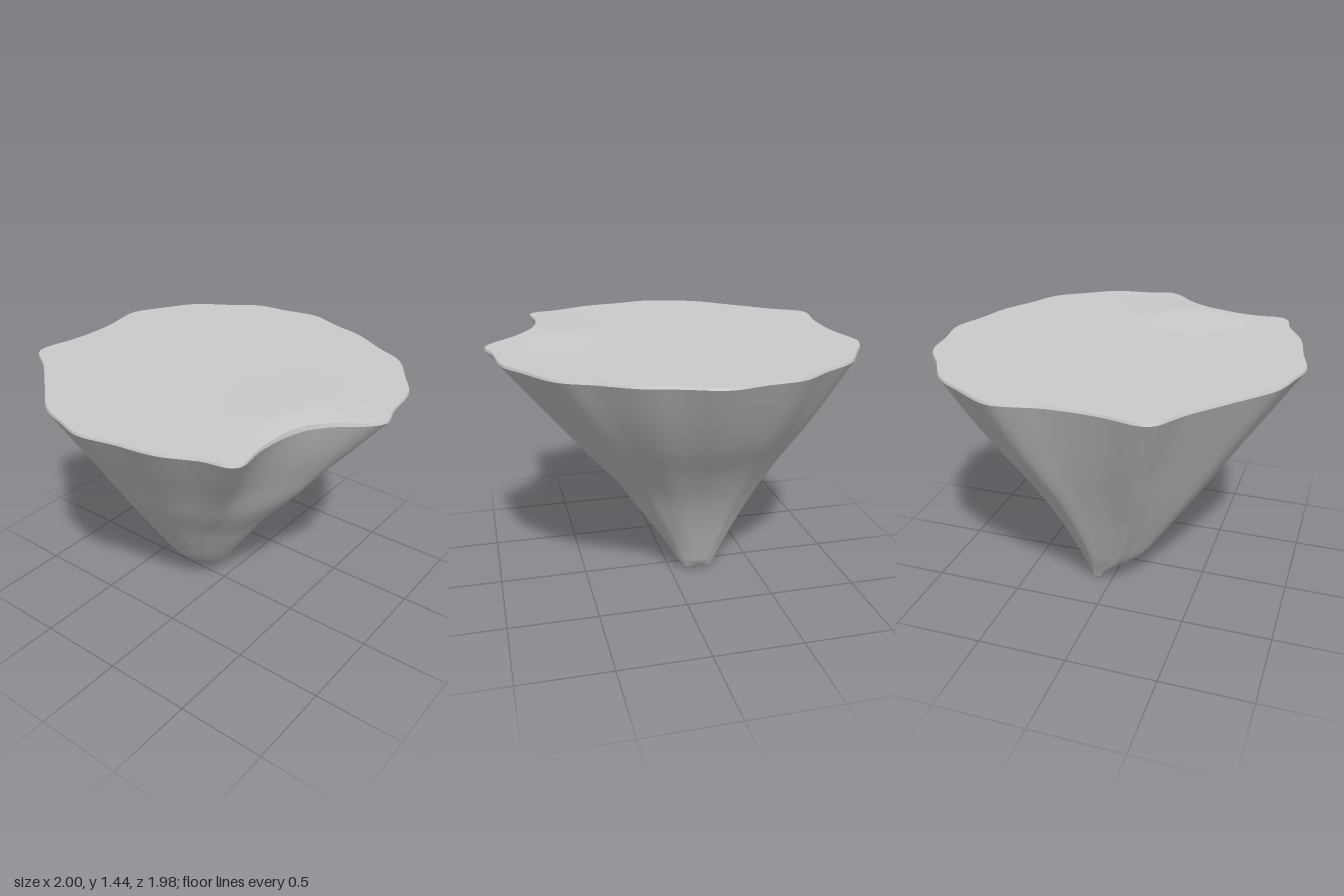
import * as THREE from 'three';

// Wavy rim outline (x, z), counter-clockwise from above, with a bite at the front
const RIM = [
  [0, .99], [.13, .955], [.36, .92], [.5, .83], [.69, .69], [.77, .53], [.88, .33], [.93, .15],
  [.995, -.05], [.96, -.25], [.93, -.44], [.82, -.6], [.7, -.78], [.55, -.88], [.35, -.99], [.25, -.985],
  [.1, -.955], [-.05, -.95], [-.2, -.96], [-.39, -.995], [-.45, -.98], [-.56, -.82], [-.73, -.62],
  [-.91, -.4], [-.96, -.25], [-1, -.1], [-.96, .1], [-.92, .32], [-.83, .52], [-.8, .65], [-.76, .685],
  [-.6, .67], [-.45, .68], [-.3, .725], [-.18, .82], [-.08, .94],
];

// Cross-section extents of the rock: height, xMin, xMax, zMin, zMax
const LEVELS = [
  [0, .05, .13, -.25, -.09],
  [.07, -.01, .16, -.285, -.045],
  [.2, -.185, .22, -.36, .04],
  [.4, -.33, .315, -.465, .18],
  [.6, -.465, .43, -.57, .32],
  [.8, -.6, .57, -.68, .5],
  [1, -.73, .73, -.79, .66],
  [1.2, -.865, .87, -.895, .83],
  [1.405, -1, 1, -1, 1],
];
const TOP = 1.405;
const N = 160;

// Skin a stack of rings (bottom to top, outside to inside) with smooth normals
function loft(name, rings) {
  const pos = [], idx = [];
  rings.forEach(r => r.forEach(p => pos.push(...p)));
  for (let k = 0; k < rings.length - 1; k++) {
    for (let i = 0; i < N; i++) {
      const j = (i + 1) % N;
      const a = k * N + i, b = k * N + j, c = b + N, d = a + N;
      idx.push(a, b, c, a, c, d);
    }
  }
  const geo = new THREE.BufferGeometry();
  geo.setAttribute('position', new THREE.Float32BufferAttribute(pos, 3));
  geo.setIndex(idx);
  geo.computeVertexNormals();
  const mesh = new THREE.Mesh(geo, new THREE.MeshStandardMaterial({ color: 0xcccccc }));
  mesh.name = name;
  return mesh;
}

export function createModel() {
  const group = new THREE.Group();
  group.name = 'floatingRock';

  const curve = new THREE.CatmullRomCurve3(RIM.map(([x, z]) => new THREE.Vector3(x, 0, z)), true);
  const rim = curve.getSpacedPoints(N).slice(0, N);

  // Smooth vertical curves through the low and high corners of each level
  const spline = pts => new THREE.CatmullRomCurve3(pts, false, 'catmullrom', 0.5);
  const low = spline(LEVELS.map(([y, x0, , z0]) => new THREE.Vector3(x0, y, z0)));
  const high = spline(LEVELS.map(([y, , x1, , z1]) => new THREE.Vector3(x1, y, z1)));

  // Rim outline fitted to a height; the bite fills in quickly, other flutes fade towards the tip
  const section = t => {
    const lo = low.getPoint(t), hi = high.getPoint(t), y = lo.y;
    const biteFill = Math.min(0.95, (TOP - y) / 0.8);
    return rim.map(p => {
      const len = Math.hypot(p.x, p.z);
      const inBite = p.x < 0 && p.z > 0.6;
      const soft = (0.45 + 0.45 * THREE.MathUtils.smoothstep(p.z, -0.6, 0.2)) * (1 - y / TOP);
      const f = inBite ? 1 + biteFill * (1 / len - 1) : 1 + soft * (0.99 / len - 1);
      // Two small nubs at the tip, with an arch between them
      const lift = 0.03 * (1 - p.z * p.z) * Math.max(0, 1 - y / 0.07);
      return [
        (lo.x + hi.x) / 2 + p.x * f * (hi.x - lo.x) / 2,
        y + lift,
        (lo.z + hi.z) / 2 + p.z * f * (hi.z - lo.z) / 2,
      ];
    });
  };
  const steps = 32;
  const body = [rim.map(() => [.09, .035, -.17])];
  for (let i = 0; i <= steps; i++) body.push(section(i / steps));
  group.add(loft('rockBody', body));

  // Nearly flat top with a faint swell near the front
  const topRing = s => rim.map(p => {
    const x = p.x * s, z = p.z * s;
    const swell = Math.exp(-(((x + .2) / .32) ** 2) - ((z - .58) / .22) ** 2);
    return [x, 1.418 + .022 * swell, z];
  });
  group.add(loft('topSurface', [.996, .96, .92, .85, .75, .62, .48, .32, .16, 0].map(topRing)));

  // Thin lip joining the rock to the top
  group.add(loft('rimLip', [rim.map(p => [p.x, TOP, p.z]), topRing(.996)]));

  return group;
}
